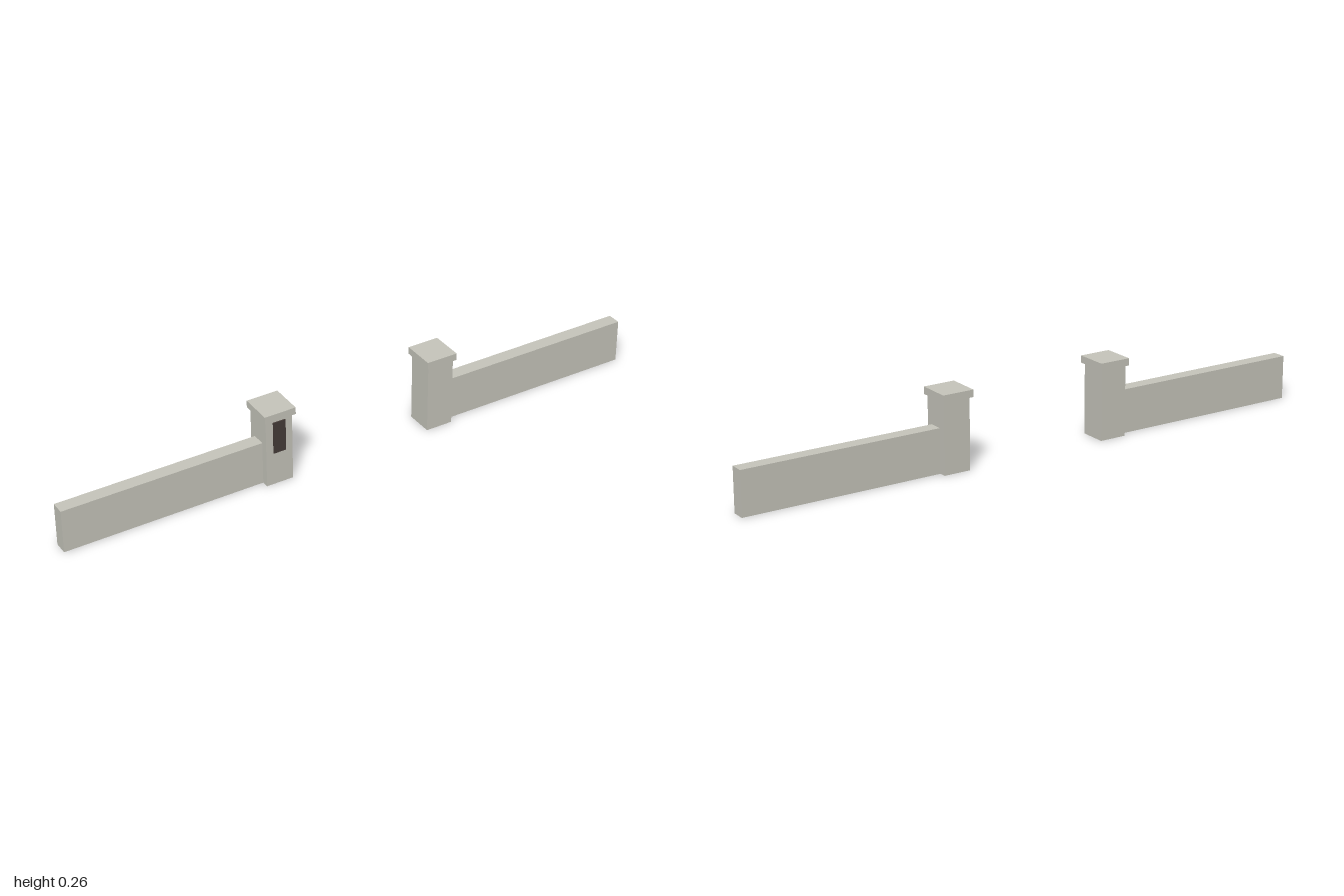
import * as THREE from 'three';

const stone = new THREE.MeshStandardMaterial({ color: 0xc7c6bc, side: THREE.DoubleSide });
stone.name = 'pale stone';
const darkMetal = new THREE.MeshStandardMaterial({ color: 0x463c38 });
darkMetal.name = 'dark metal';

// Box given by its limits; openBottom leaves out the underside
function block(name, [x0, x1], [y0, y1], [z0, z1], material, openBottom = false) {
  const geometry = new THREE.BoxGeometry(x1 - x0, y1 - y0, z1 - z0);
  if (openBottom) {
    const index = Array.from(geometry.index.array);
    index.splice(18, 6); // fourth side of the box is its underside
    geometry.setIndex(index);
    geometry.clearGroups();
  }
  const mesh = new THREE.Mesh(geometry, material);
  mesh.name = name;
  mesh.position.set((x0 + x1) / 2, (y0 + y1) / 2, (z0 + z1) / 2);
  return mesh;
}

export function createModel() {
  const model = new THREE.Group();
  model.name = 'gateway';

  // Mirrored walls, each ending in a capped gate post
  for (const [side, s] of [['left', 1], ['right', -1]]) {
    const span = (a, b) => (s > 0 ? [a, b] : [-b, -a]);
    const half = new THREE.Group();
    half.name = side + 'Half';
    half.add(
      block('wall', span(0.3345, 1), [0, 0.1445], [-0.0225, 0.0225], stone, true),
      block('post', span(0.2435, 0.3345), [0, 0.2325], [-0.0455, 0.0455], stone, true),
      block('cap', span(0.2355, 0.3415), [0.2325, 0.256], [-0.0545, 0.0545], stone),
    );
    model.add(half);
  }

  // Thin dark plate on the front of the right post
  model.add(block('postPlate', [-0.31, -0.268], [0.113, 0.222], [0.0455, 0.0495], darkMetal));

  return model;
}
